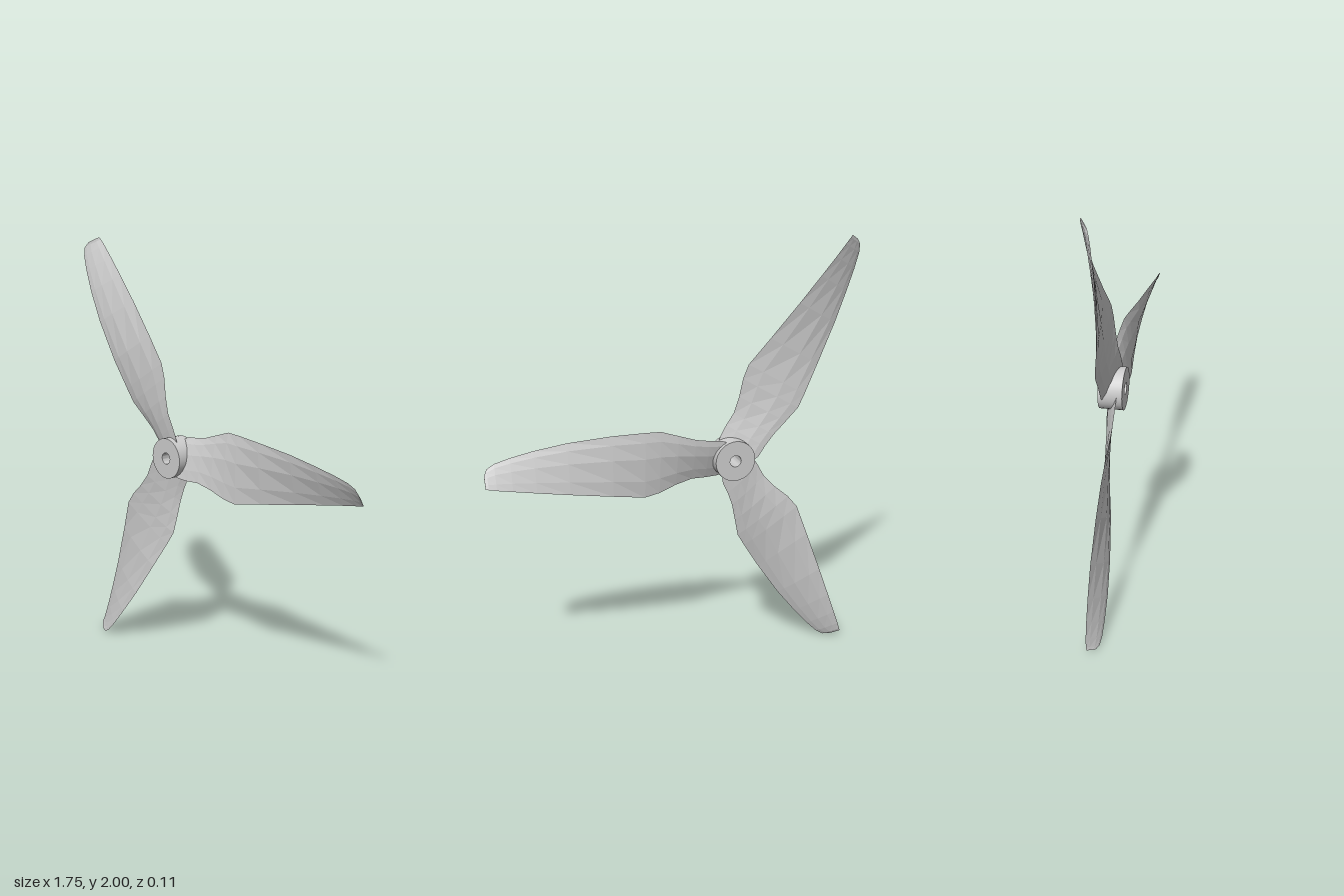
import * as THREE from 'three';
import { toCreasedNormals } from 'three/addons/utils/BufferGeometryUtils.js';

const HUB_X = -0.265, HUB_Y = 1;

// Blade stations: radius, leading y, trailing y, leading z, trailing z, half thickness
const STATIONS = [
  [0.04, 0.09, -0.085, -0.034, 0.03, 0.012],
  [0.065, 0.1, -0.09, -0.034, 0.03, 0.012],
  [0.12, 0.104, -0.092, -0.033, 0.028, 0.012],
  [0.185, 0.115, -0.09, -0.031, 0.024, 0.011],
  [0.265, 0.14, -0.109, -0.025, 0.018, 0.011],
  [0.345, 0.165, -0.138, -0.017, 0.012, 0.01],
  [0.415, 0.164, -0.15, -0.008, 0.007, 0.009],
  [0.565, 0.157, -0.123, 0.013, -0.006, 0.008],
  [0.765, 0.14, -0.087, 0.03, -0.018, 0.007],
  [0.915, 0.117, -0.06, 0.037, -0.021, 0.006],
  [1.02, 0.096, -0.041, 0.037, -0.021, 0.005],
  [1.09, 0.077, -0.029, 0.035, -0.019, 0.004],
  [1.125, 0.057, -0.022, 0.03, -0.016, 0.003],
  [1.138, 0.03, -0.02, 0.02, -0.012, 0.002],
];

// Thin lens-shaped section: down the front from the leading edge, back up behind
const SECTION = [[0, 0], [0.15, 0.7], [0.4, 1], [0.75, 0.55], [1, 0], [0.75, -0.55], [0.4, -1], [0.15, -0.7]];

function bladeGeometry() {
  const positions = [], index = [];
  const n = SECTION.length, last = (STATIONS.length - 1) * n;
  for (const [r, y0, y1, z0, z1, t] of STATIONS) {
    for (const [u, v] of SECTION) {
      positions.push(r, y0 + (y1 - y0) * u, z0 + (z1 - z0) * u + v * t);
    }
  }
  for (let s = 0; s < last; s += n) {
    for (let i = 0; i < n; i++) {
      const j = (i + 1) % n;
      index.push(s + i, s + j, s + n + j, s + i, s + n + j, s + n + i);
    }
  }
  // Tip and root caps
  for (let i = 1; i < n - 1; i++) {
    index.push(last, last + i, last + i + 1, 0, i + 1, i);
  }
  const geometry = new THREE.BufferGeometry();
  geometry.setAttribute('position', new THREE.Float32BufferAttribute(positions, 3));
  geometry.setIndex(index);
  geometry.computeVertexNormals();
  return geometry;
}

function hubGeometry() {
  // Closed ring profile with a bore for the shaft
  const R = 0.095, bore = 0.027, h = 0.053;
  const profile = [[bore, -h], [R, -h], [R, h], [bore, h], [bore, -h]]
    .map(([x, y]) => new THREE.Vector2(x, y));
  const lathe = new THREE.LatheGeometry(profile, 32);
  lathe.rotateX(Math.PI / 2);
  return toCreasedNormals(lathe, Math.PI / 6);
}

export function createModel() {
  const model = new THREE.Group();
  model.name = 'propeller';
  const material = new THREE.MeshStandardMaterial({ color: 0xcccccc });
  const bladeMaterial = new THREE.MeshStandardMaterial({ color: 0xcccccc, flatShading: true });

  const hub = new THREE.Mesh(hubGeometry(), material);
  hub.name = 'hub';
  hub.position.set(HUB_X, HUB_Y, 0);
  model.add(hub);

  // Three equal blades around the hub
  const blade = bladeGeometry();
  for (let i = 0; i < 3; i++) {
    const mesh = new THREE.Mesh(blade, bladeMaterial);
    mesh.name = `blade${i + 1}`;
    mesh.position.set(HUB_X, HUB_Y, 0);
    mesh.rotation.z = (i * Math.PI * 2) / 3;
    model.add(mesh);
  }
  return model;
}
